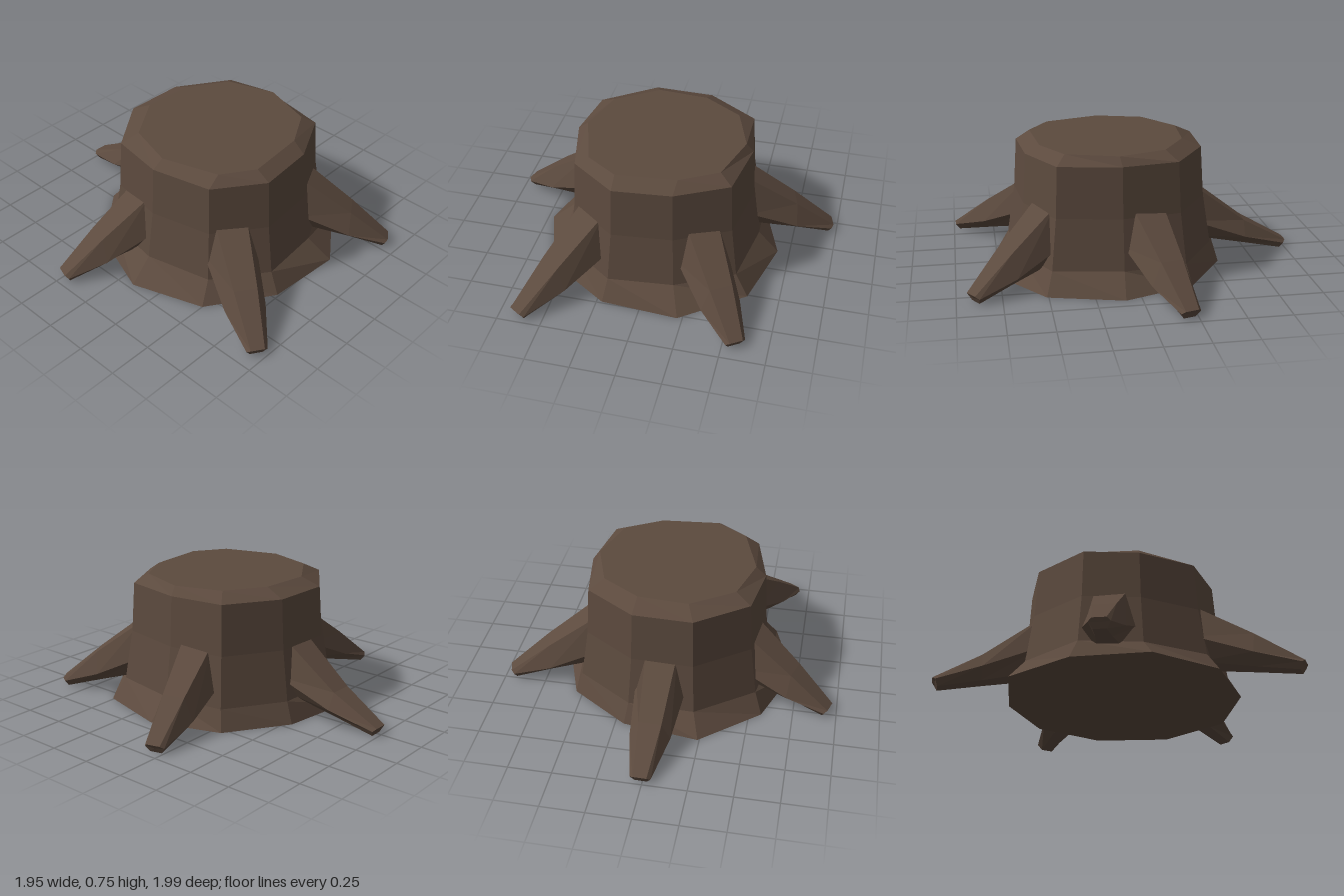
import * as THREE from 'three';

const bark = new THREE.MeshStandardMaterial({ color: 0x5c4a3e, flatShading: true });
bark.name = 'bark brown';

// Skin a list of equal-length rings and close both ends.
function loft(rings) {
  const pos = [];
  const tri = (...pts) => pts.forEach((p) => pos.push(p.x, p.y, p.z));
  const n = rings[0].length;
  const mid = (ring) => ring.reduce((s, p) => s.add(p), new THREE.Vector3()).divideScalar(n);
  const first = rings[0], last = rings[rings.length - 1];
  const c0 = mid(first), c1 = mid(last);
  for (let i = 0; i < n; i++) {
    const j = (i + 1) % n;
    for (let k = 0; k < rings.length - 1; k++) {
      const a = rings[k], b = rings[k + 1];
      tri(a[i], b[i], b[j]);
      tri(a[i], b[j], a[j]);
    }
    tri(c0, first[i], first[j]);
    tri(c1, last[j], last[i]);
  }
  const g = new THREE.BufferGeometry();
  g.setAttribute('position', new THREE.Float32BufferAttribute(pos, 3));
  g.computeVertexNormals();
  return g;
}

function part(name, rings) {
  const mesh = new THREE.Mesh(loft(rings), bark);
  mesh.name = name;
  return mesh;
}

// Irregular ten-sided outlines, [x, z], starting at the back.
const baseOutline = [[-0.24, -0.6], [0.2, -0.54], [0.54, -0.31], [0.68, 0.09], [0.57, 0.51],
  [0.22, 0.77], [-0.22, 0.74], [-0.58, 0.5], [-0.72, 0.09], [-0.57, -0.32]];
const rimOutline = [[-0.18, -0.44], [0.16, -0.43], [0.45, -0.24], [0.5, 0.08], [0.44, 0.43],
  [0.15, 0.58], [-0.18, 0.61], [-0.44, 0.42], [-0.52, 0.08], [-0.47, -0.23]];
const topOutline = [[-0.14, -0.34], [0.15, -0.32], [0.37, -0.18], [0.46, 0.09], [0.37, 0.38],
  [0.16, 0.5], [-0.18, 0.53], [-0.36, 0.41], [-0.46, 0.09], [-0.38, -0.18]];

// Place an outline at height y, scaled about the trunk axis.
function ringAt(outline, y, s = 1) {
  const cx = -0.01, cz = 0.08;
  return outline.map(([x, z]) => new THREE.Vector3(cx + (x - cx) * s, y, cz + (z - cz) * s));
}

// Six-sided root: flat top, wide shoulders, underside rising towards the trunk.
function root(name, [x0, z0], [x1, z1], sag) {
  const dir = new THREE.Vector3(x1 - x0, 0, z1 - z0);
  const length = dir.length();
  dir.normalize();
  const side = new THREE.Vector3(dir.z, 0, -dir.x);
  // t along root, then half width and height of top, shoulder and underside
  const stations = [
    [0, 0.09, 0.45, 0.15, 0.24, 0.07, 0.12],
    [0.55, 0.065, 0.24 - sag, 0.115, 0.11, 0.045, 0.05],
    [1, 0.038, 0.05, 0.058, 0.035, 0.035, 0],
  ];
  const rings = stations.map(([t, tw, ty, sw, sy, bw, by]) => {
    const p = (w, y, back = 0) => new THREE.Vector3(x0, y, z0)
      .addScaledVector(dir, t * length - back).addScaledVector(side, w);
    const tuck = t === 1 ? 0.03 : 0;
    return [p(-tw, ty), p(tw, ty), p(sw, sy, tuck / 2),
      p(bw, by, tuck), p(-bw, by, tuck), p(-sw, sy, tuck / 2)];
  });
  return part(name, rings);
}

export function createModel() {
  const model = new THREE.Group();
  model.name = 'treeStump';

  // Trunk with flared foot and bevelled rim
  model.add(part('trunk', [
    ringAt(baseOutline, 0),
    ringAt(rimOutline, 0.12, 1.12),
    ringAt(rimOutline, 0.41, 1.035),
    ringAt(rimOutline, 0.7),
    ringAt(topOutline, 0.75),
  ]));

  // Five spreading roots
  model.add(
    root('backRoot', [0, -0.4], [0.01, -1], 0.04),
    root('leftRoot', [0.46, -0.07], [0.97, -0.21], 0),
    root('rightRoot', [-0.47, -0.08], [-0.96, -0.24], 0),
    root('frontRightRoot', [-0.33, 0.48], [-0.65, 0.97], 0),
    root('frontLeftRoot', [0.3, 0.49], [0.58, 0.92], 0),
  );
  return model;
}
